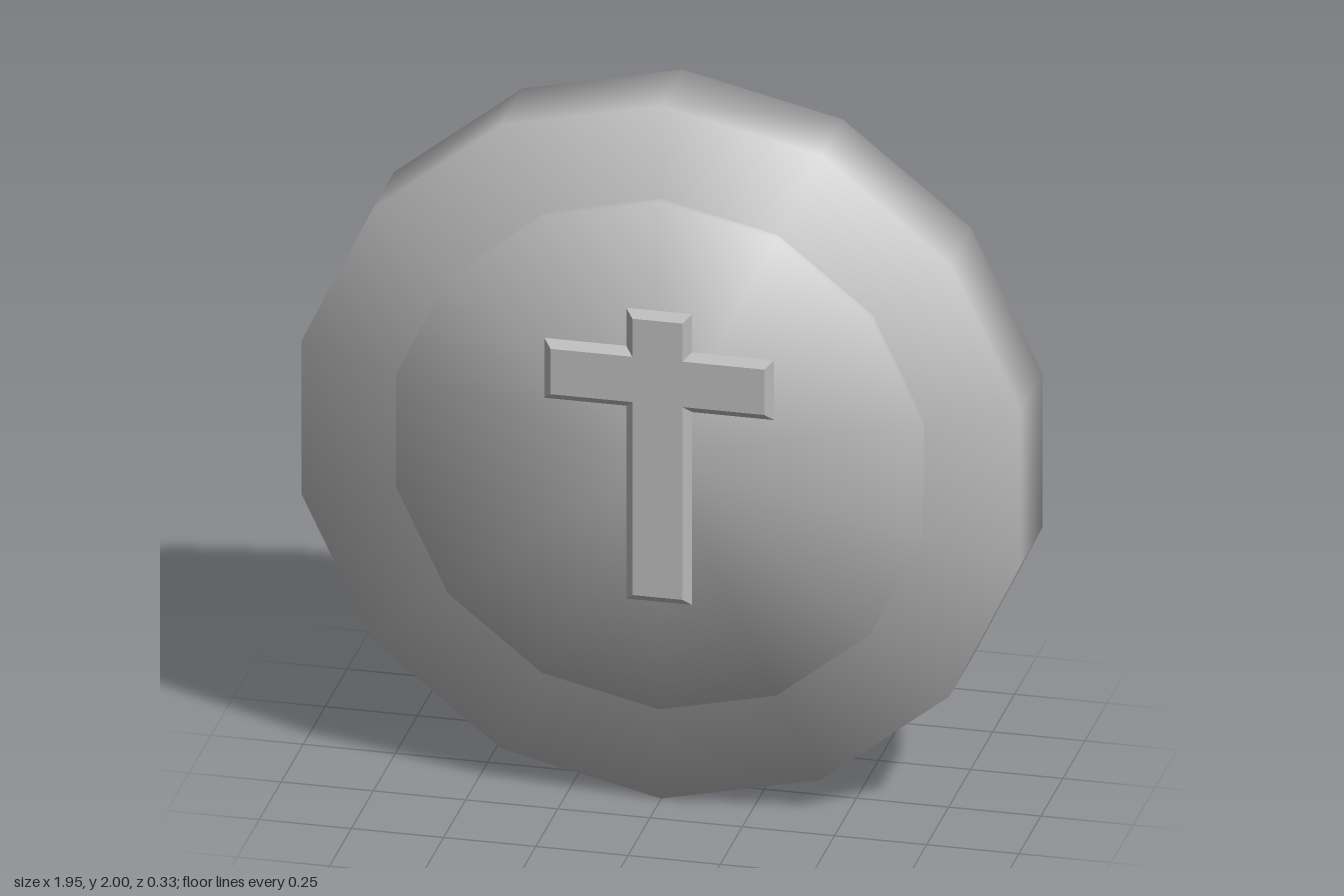
import * as THREE from 'three';

const SIDES = 14;
const grey = new THREE.MeshStandardMaterial({ color: 0xb8b8b8 });
grey.name = 'grey metal';

// Disc facing +z with a corner at the top; rim normals lean outward so caps and wall blend softly
function disc(name, radius, halfDepth) {
  const geo = new THREE.CylinderGeometry(radius, radius, halfDepth * 2, SIDES, 1);
  geo.rotateX(Math.PI / 2);
  geo.rotateZ(Math.PI);
  const pos = geo.attributes.position;
  const n = new THREE.Vector3();
  for (let i = 0; i < pos.count; i++) {
    n.set(pos.getX(i) / radius, pos.getY(i) / radius, Math.sign(pos.getZ(i))).normalize();
    geo.attributes.normal.setXYZ(i, n.x, n.y, n.z);
  }
  const mesh = new THREE.Mesh(geo, grey);
  mesh.name = name;
  mesh.position.y = 1;
  return mesh;
}

// Chamfered cross running through the disc, raised on both faces
function cross() {
  const stem = 0.068, arm = 0.29;
  const low = 0.6, armLow = 1.157, armHigh = 1.288, high = 1.398;
  const half = [
    [stem, low], [stem, armLow], [arm, armLow],
    [arm, armHigh], [stem, armHigh], [stem, high],
  ];
  const mirrored = half.map(([x, y]) => [-x, y]).reverse();
  const shape = new THREE.Shape([...half, ...mirrored].map(([x, y]) => new THREE.Vector2(x, y)));
  const depth = 0.292;
  const geo = new THREE.ExtrudeGeometry(shape, {
    depth, bevelEnabled: true, bevelSegments: 1, bevelSize: 0.021, bevelThickness: 0.02,
  });
  geo.translate(0, 0, -depth / 2);
  const mesh = new THREE.Mesh(geo, grey);
  mesh.name = 'cross';
  return mesh;
}

export function createModel() {
  const model = new THREE.Group();
  model.name = 'coin';
  model.add(
    disc('outerDisc', 1, 0.122),
    disc('raisedCentre', 0.732, 0.146),
    cross(),
  );
  return model;
}
